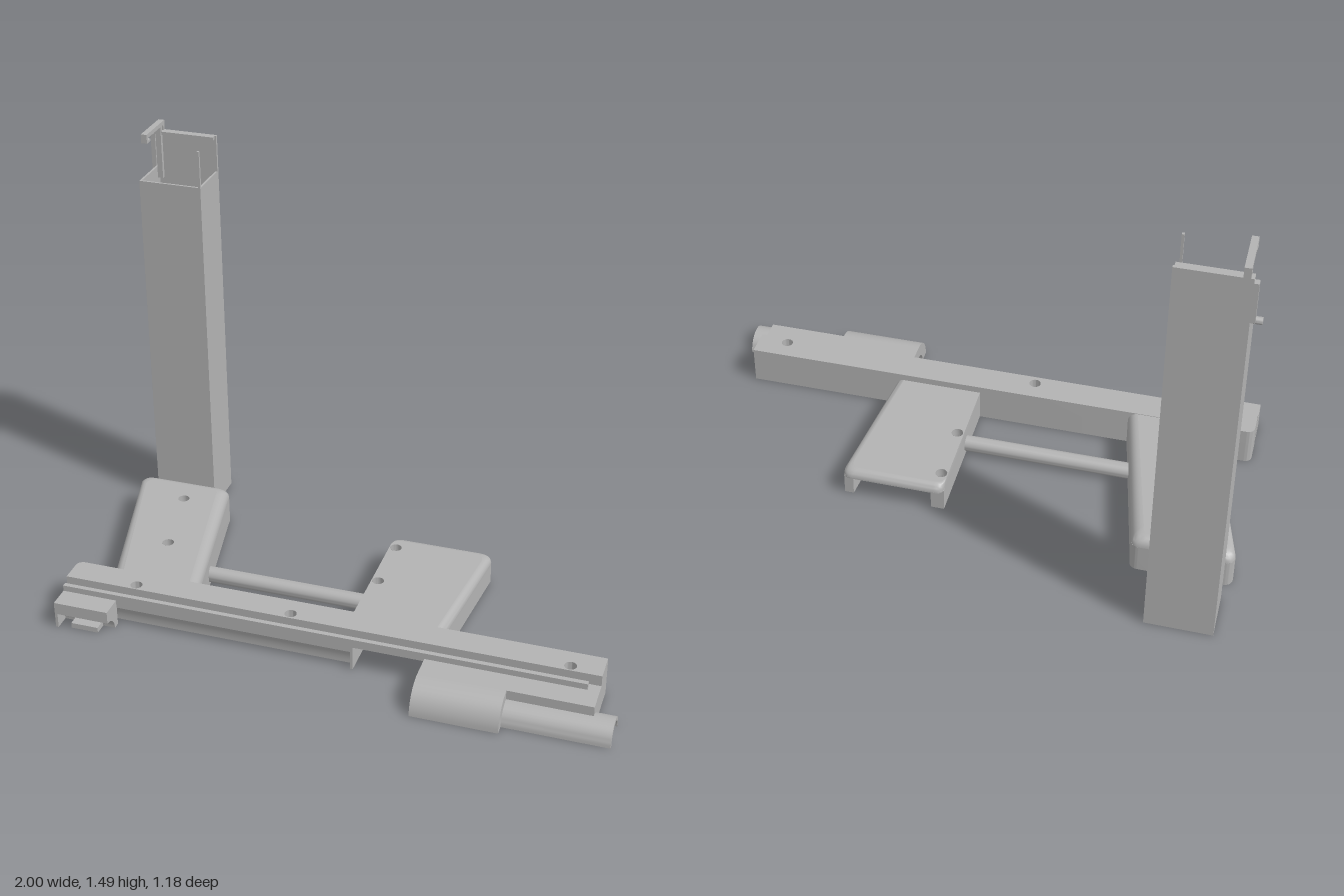
import * as THREE from 'three';
import { toCreasedNormals } from 'three/addons/utils/BufferGeometryUtils.js';

export function createModel() {
  const model = new THREE.Group();
  const grey = new THREE.MeshStandardMaterial({ color: 0xb3b3b3, side: THREE.DoubleSide });
  grey.name = 'plain grey';

  const add = (name, geo, parent = model) => {
    const mesh = new THREE.Mesh(toCreasedNormals(geo, 0.6), grey);
    mesh.name = name;
    parent.add(mesh);
    return mesh;
  };
  const box = (name, x0, x1, y0, y1, z0, z1, parent) => {
    const g = new THREE.BoxGeometry(x1 - x0, y1 - y0, z1 - z0);
    g.translate((x0 + x1) / 2, (y0 + y1) / 2, (z0 + z1) / 2);
    return add(name, g, parent);
  };
  const toShape = (pts) => new THREE.Shape(pts.map(([x, z]) => new THREE.Vector2(x, -z)));
  const drill = (shape, holes, r = 0.021) => {
    for (const [x, z] of holes) {
      const h = new THREE.Path();
      h.absarc(x, -z, r, 0, Math.PI * 2);
      shape.holes.push(h);
    }
    return shape;
  };
  // plan outline raised from y0 to y1
  const prism = (name, shape, y0, y1, parent) => {
    const g = new THREE.ExtrudeGeometry(shape, { depth: y1 - y0, bevelEnabled: false, curveSegments: 20 });
    return add(name, g.rotateX(-Math.PI / 2).translate(0, y0, 0), parent);
  };
  // [z, y] outline swept along x
  const sweep = (name, pts, x0, x1, parent) => {
    const s = new THREE.Shape(pts.map(([z, y]) => new THREE.Vector2(-z, y)));
    const g = new THREE.ExtrudeGeometry(s, { depth: x1 - x0, bevelEnabled: false });
    return add(name, g.rotateY(Math.PI / 2).translate(x0, 0, 0), parent);
  };
  // points of an arc in the z-y plane
  const arc = (cz, cy, rz, ry, a0, a1, n = 20) => Array.from({ length: n + 1 }, (_, i) => {
    const a = a0 + (a1 - a0) * i / n;
    return [cz + rz * Math.cos(a), cy + ry * Math.sin(a)];
  });

  // foot: tapered plate with rounded upper edges and screw holes
  const foot = (name, f) => {
    const group = new THREE.Group();
    group.name = name;
    const outline = (i) => {
      const c = 0.035, l = i * f.softLeft;
      const s = new THREE.Shape();
      s.moveTo(f.fl + l, -f.zf);
      s.lineTo(f.bl + l, -f.zb - i - c);
      s.quadraticCurveTo(f.bl + l, -f.zb - i, f.bl + l + c, -f.zb - i);
      s.lineTo(f.br - i - c, -f.zb - i);
      s.quadraticCurveTo(f.br - i, -f.zb - i, f.br - i, -f.zb - i - c);
      s.lineTo(f.fr - i, -f.zf);
      return s;
    };
    prism('footPlate', drill(outline(0), f.holes), f.y0, f.h - f.r, group);
    const rings = [];
    for (let k = 0; k <= 6; k++) {
      const a = k / 6 * Math.PI / 2;
      const y = f.h - f.r + f.r * Math.sin(a);
      rings.push(outline(f.r * (1 - Math.cos(a))).getPoints(5).map((p) => [p.x, y, -p.y]));
    }
    const pos = [];
    for (let k = 0; k < 6; k++) {
      const n = rings[k].length;
      for (let j = 0; j < n; j++) {
        const m = (j + 1) % n, a = rings[k], b = rings[k + 1];
        pos.push(...a[j], ...b[m], ...a[m], ...a[j], ...b[j], ...b[m]);
      }
    }
    const edge = new THREE.BufferGeometry();
    edge.setAttribute('position', new THREE.Float32BufferAttribute(pos, 3));
    edge.computeVertexNormals();
    add('footRoundedEdge', edge, group);
    const cap = new THREE.ShapeGeometry(drill(outline(f.r), f.holes), 20);
    add('footTop', cap.rotateX(-Math.PI / 2).translate(0, f.h, 0), group);
    for (const [x, z] of f.holes) {
      const t = new THREE.CylinderGeometry(0.021, 0.021, f.r, 20, 1, true);
      add('footHole', t.translate(x, f.h - f.r / 2, z), group);
    }
    model.add(group);
    return group;
  };

  foot('leftmostFoot', { bl: -0.995, br: -0.64, fl: -0.835, fr: -0.515, zb: -0.355, zf: 0.285, y0: 0, h: 0.138,
    r: 0.035, softLeft: 1, holes: [[-0.78, -0.225], [-0.72, 0.07]] });
  const legHoles = [[0.066, -0.178], [0.066, 0.043]];
  const channel = foot('channelFoot', { bl: 0.042, br: 0.41, fl: 0.042, fr: 0.362, zb: -0.252, zf: 0.285, y0: 0.083,
    h: 0.115, r: 0.027, softLeft: 0, holes: legHoles });
  // legs of the open channel
  prism('channelLeg', drill(toShape([[0.042, -0.235], [0.09, -0.235], [0.09, 0.285], [0.042, 0.285]]), legHoles), 0, 0.085, channel);
  prism('channelLeg', toShape([[0.375, -0.235], [0.408, -0.235], [0.362, 0.285], [0.335, 0.285]]), 0, 0.085, channel);

  // round bar between the feet
  const bar = new THREE.CylinderGeometry(0.029, 0.029, 0.65, 24);
  add('connectingBar', bar.rotateZ(Math.PI / 2).translate(-0.27, 0.04, 0.08));

  // cross beam with stepped front
  const beam = new THREE.Group();
  beam.name = 'crossBeam';
  model.add(beam);
  const left = new THREE.Shape();
  left.moveTo(0.09, -0.28);
  left.lineTo(-0.945, -0.28);
  left.quadraticCurveTo(-0.975, -0.28, -0.975, -0.31);
  left.lineTo(-0.975, -0.38);
  left.lineTo(0.09, -0.38);
  prism('beamLeft', drill(left, [[-0.72, 0.355], [-0.15, 0.355]]), 0, 0.14, beam);
  box('beamMiddle', 0.09, 0.36, 0.09, 0.14, 0.28, 0.38, beam);
  prism('beamRight', drill(toShape([[0.36, 0.28], [0.93, 0.28], [0.93, 0.38], [0.36, 0.38]]), [[0.82, 0.355]]), 0, 0.14, beam);
  sweep('beamConcaveFront', [[0.38, 0.1], ...arc(0.412, 0, 0.032, 0.07, Math.PI, Math.PI / 2, 12), [0.412, 0.1]], -0.975, 0.08, beam);
  box('concaveEndStop', 0.08, 0.09, 0, 0.1, 0.38, 0.412, beam);
  box('beamFrontStrip', 0.09, 0.36, 0.09, 0.1, 0.38, 0.412, beam);
  box('beamFrontRight', 0.36, 0.93, 0, 0.1, 0.38, 0.43, beam);
  box('beamRidge', -0.975, 0.89, 0.1, 0.122, 0.395, 0.412, beam);

  // half sleeve and its clamp
  const half = (r0, r1) => [...arc(0.495, 0, r1, r1, 0, Math.PI), ...arc(0.495, 0, r0, r0, Math.PI, 0)];
  sweep('clampShell', half(0.064, 0.1), 0.34, 0.64);
  sweep('sleeve', half(0.052, 0.065), 0.34, 1);
  sweep('clampLedge', [[0.41, 0.1], [0.41, 0], ...arc(0.495, 0, 0.065, 0.065, Math.PI, Math.PI / 2, 12), [0.495, 0.1]], 0.34, 0.93);

  // small holder at the other end of the beam
  sweep('endHolder', [[0.41, 0.1], [0.41, 0], ...arc(0.49, 0, 0.055, 0.055, Math.PI, Math.PI / 2, 12), [0.49, 0.1]], -0.975, -0.775);
  box('endHolderPlate', -0.975, -0.965, 0, 0.1, 0.41, 0.49);
  box('endHolderClip', -0.92, -0.82, 0, 0.02, 0.43, 0.48);

  // hollow tower
  const tower = new THREE.Group();
  tower.name = 'tower';
  model.add(tower);
  const wall = toShape([[-0.968, -0.59], [-0.735, -0.59], [-0.735, -0.415], [-0.968, -0.415]]);
  wall.holes.push(toShape([[-0.96, -0.58], [-0.743, -0.58], [-0.743, -0.423], [-0.96, -0.423]]));
  prism('towerWalls', wall, 0, 1.32, tower);
  box('towerBackPanel', -0.968, -0.735, 1.32, 1.455, -0.59, -0.58, tower);
  box('backPanelLip', -0.968, -0.74, 1.443, 1.455, -0.59, -0.562, tower);
  box('cornerPin', -0.743, -0.735, 1.32, 1.455, -0.424, -0.415, tower);
  box('sideTab', -0.983, -0.966, 1.3, 1.44, -0.59, -0.568, tower);
  const peg = new THREE.CylinderGeometry(0.012, 0.012, 0.035, 16);
  add('sidePeg', peg.rotateZ(Math.PI / 2).translate(-0.983, 1.253, -0.51), tower);
  // hook above the tower
  box('hookPost', -0.958, -0.938, 1.28, 1.48, -0.57, -0.556, tower);
  box('hookArm', -0.958, -0.936, 1.475, 1.49, -0.59, -0.43, tower);
  box('hookBack', -0.958, -0.936, 1.45, 1.48, -0.59, -0.578, tower);
  box('hookDrop', -0.958, -0.936, 1.457, 1.48, -0.44, -0.43, tower);
  box('hookLip', -0.958, -0.936, 1.457, 1.466, -0.462, -0.43, tower);
  // clips inside the tower foot
  for (const z of [-0.578, -0.427]) box('footClip', -0.88, -0.82, 0.005, 0.03, z - 0.006, z + 0.006, tower);

  return model;
}
